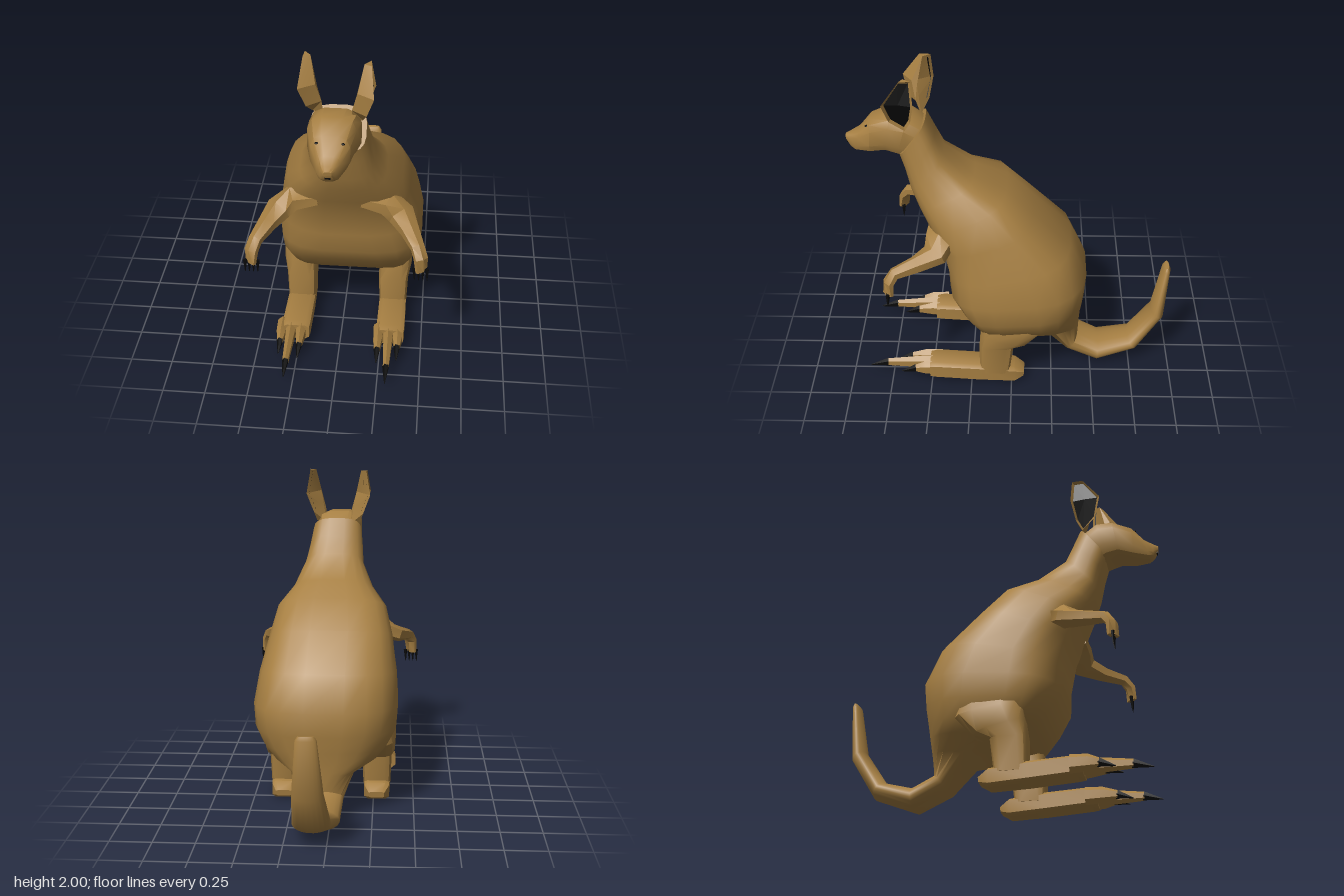
import * as THREE from 'three';
import { toCreasedNormals } from 'three/addons/utils/BufferGeometryUtils.js';

const fur = new THREE.MeshStandardMaterial({ color: 0xa67f42 });
fur.name = 'brownFur';
const black = new THREE.MeshStandardMaterial({ color: 0x0a0a0a, side: THREE.DoubleSide });
black.name = 'blackClawAndEar';

// Skin a list of equal-length rings, with closed ends; faces are turned outward by signed volume.
function loft(rings, crease = 0.7) {
  const n = rings[0].length, pos = [], idx = [];
  rings.forEach(r => r.forEach(p => pos.push(p.x, p.y, p.z)));
  for (let i = 0; i < rings.length - 1; i++) {
    for (let j = 0; j < n; j++) {
      const a = i * n + j, b = i * n + (j + 1) % n;
      idx.push(a, b, a + n, b, b + n, a + n);
    }
  }
  [0, rings.length - 1].forEach(i => {
    const c = new THREE.Vector3();
    rings[i].forEach(p => c.addScaledVector(p, 1 / n));
    const k = pos.length / 3;
    pos.push(c.x, c.y, c.z);
    for (let j = 0; j < n; j++) {
      const a = i * n + j, b = i * n + (j + 1) % n;
      if (i === 0) idx.push(k, b, a); else idx.push(k, a, b);
    }
  });
  const at = i => new THREE.Vector3().fromArray(pos, i * 3);
  let volume = 0;
  for (let i = 0; i < idx.length; i += 3) volume += at(idx[i]).dot(at(idx[i + 1]).cross(at(idx[i + 2])));
  if (volume < 0) idx.reverse();
  const g = new THREE.BufferGeometry();
  g.setAttribute('position', new THREE.Float32BufferAttribute(pos, 3));
  g.setIndex(idx);
  return toCreasedNormals(g, crease);
}

// Rounded section from two profile points:
// [z1, y1, z2, y2, centreX, halfWidth, roundness at point 1, roundness at point 2]
function section([z1, y1, z2, y2, cx, hw, e1 = 0.65, e2 = e1], n) {
  return Array.from({ length: n }, (_, i) => {
    const t = (i + 0.5) / n * Math.PI * 2, e = Math.cos(t) > 0 ? e1 : e2;
    const pw = v => Math.sign(v) * Math.pow(Math.abs(v), e);
    const u = pw(Math.cos(t)), v = pw(Math.sin(t));
    return new THREE.Vector3(cx + hw * v, (y1 + y2) / 2 + u * (y1 - y2) / 2, (z1 + z2) / 2 + u * (z1 - z2) / 2);
  });
}
const profile = (rows, n, crease) => loft(rows.map(r => section(r, n)), crease);

// Limb along a path of [x, y, z, halfWidth, halfHeight]
function limb(path, n = 6) {
  const P = path.map(p => new THREE.Vector3(p[0], p[1], p[2]));
  return loft(path.map((p, i) => {
    const t = P[Math.min(i + 1, P.length - 1)].clone().sub(P[Math.max(i - 1, 0)]).normalize();
    const side = new THREE.Vector3(0, 1, 0).cross(t).normalize();
    const up = t.clone().cross(side);
    return Array.from({ length: n }, (_, j) => {
      const a = (j + 0.5) / n * Math.PI * 2;
      return P[i].clone().addScaledVector(side, Math.cos(a) * p[3]).addScaledVector(up, Math.sin(a) * p[4]);
    });
  }), 0.6);
}

function add(parent, name, geometry, material = fur) {
  const m = new THREE.Mesh(geometry, material);
  m.name = name;
  parent.add(m);
  return m;
}

function makeLeg(s) {
  const g = new THREE.Group(), x = 0.02 + s * 0.29;
  g.name = s > 0 ? 'leftLeg' : 'rightLeg';
  // Shin, with its top buried in the haunch
  add(g, 'shin', profile([
    [0.16, 0.60, -0.22, 0.60, x, 0.07],
    [0.18, 0.48, -0.22, 0.42, x + s * 0.01, 0.108],
    [0.19, 0.38, -0.11, 0.31, x + s * 0.01, 0.103],
    [0.20, 0.28, -0.015, 0.28, x, 0.094, 0.5],
    [0.20, 0.08, 0.01, 0.08, x, 0.086, 0.45]], 12));
  // Long flat foot
  add(g, 'foot', profile([
    [-0.08, 0.07, -0.075, 0.03, x, 0.05, 0.4],
    [-0.02, 0.11, -0.02, 0.0, x, 0.08, 0.4],
    [0.20, 0.135, 0.20, 0.01, x, 0.087, 0.4],
    [0.47, 0.15, 0.47, 0.03, x, 0.088, 0.4],
    [0.51, 0.14, 0.51, 0.035, x, 0.083, 0.4]], 8));
  // Toes: distance from the middle, claw start, claw tip
  [[0.3, 0.78, 0.89], [0.238, 0.63, 0.72], [0.357, 0.6, 0.69]].forEach(([dx, z, tip]) => {
    const tx = s * dx;
    add(g, 'toe', limb([[tx, 0.09, 0.44, 0.036, 0.055], [tx, 0.092, 0.54, 0.032, 0.05], [tx, 0.087, z, 0.02, 0.028]]));
    add(g, 'toeClaw', limb([[tx, 0.087, z - 0.005, 0.021, 0.029], [tx, 0.062, tip, 0.003, 0.003]], 5), black);
  });
  return g;
}

function makeArm(s) {
  const g = new THREE.Group();
  g.name = s > 0 ? 'leftArm' : 'rightArm';
  // Broad shoulder narrowing to the wrist and drooping hand
  add(g, 'arm', limb([
    [s * 0.13, 1.05, 0.41, 0.09, 0.05],
    [s * 0.27, 1.025, 0.415, 0.10, 0.07],
    [s * 0.355, 0.965, 0.45, 0.09, 0.055],
    [s * 0.41, 0.93, 0.56, 0.058, 0.047],
    [s * 0.46, 0.90, 0.68, 0.042, 0.035],
    [s * 0.48, 0.85, 0.715, 0.045, 0.028],
    [s * 0.485, 0.77, 0.72, 0.042, 0.018]]));
  for (let i = 0; i < 4; i++) {
    const x = s * (0.445 + i * 0.024);
    add(g, 'fingerClaw', limb([[x, 0.785, 0.72, 0.01, 0.014], [x + s * 0.003, 0.705, 0.722, 0.002, 0.002]], 5), black);
  }
  return g;
}

function makeEar(s) {
  const g = new THREE.Group();
  g.name = s > 0 ? 'leftEar' : 'rightEar';
  const dz = s > 0 ? 0 : -0.085;
  const v = (x, y, z) => new THREE.Vector3(s * x, y, z + dz);
  // Rim, walked around the ear, and the ridge point behind each rim point
  const top = v(0.145, 2.0, 0.605), mid = v(0.115, 1.86, 0.67), low = v(0.085, 1.75, 0.65), base = v(0.08, 1.66, 0.62);
  const rim = [
    v(0.185, 2.0, 0.625), v(0.18, 2.0, 0.56), v(0.205, 1.85, 0.55), v(0.16, 1.73, 0.575),
    v(0.14, 1.67, 0.61), v(0.165, 1.74, 0.695), v(0.205, 1.86, 0.73)];
  const ridge = [top, top, mid, low, base, low, mid];
  const centre = v(0.2, 1.86, 0.635);
  const inset = lift => rim.map(p => new THREE.Vector3(
    p.x + s * lift, THREE.MathUtils.lerp(p.y, centre.y, 0.1), THREE.MathUtils.lerp(p.z, centre.z, 0.17)));
  add(g, 'earShell', loft([ridge, rim, inset(-0.02)], 0.3));
  // Dark hollow of the ear
  const hollow = new THREE.BufferGeometry(), inner = inset(-0.014), pts = [];
  centre.x -= s * 0.012;
  inner.forEach((p, i) => {
    const q = inner[(i + 1) % inner.length];
    pts.push(centre, ...(s > 0 ? [q, p] : [p, q]));
  });
  hollow.setFromPoints(pts).computeVertexNormals();
  add(g, 'innerEar', hollow, black);
  return g;
}

export function createModel() {
  const model = new THREE.Group();
  model.name = 'kangaroo';

  // Neck, chest, belly and tail in one skin; the tail curls up at the end
  add(model, 'bodyAndTail', profile([
    [0.66, 1.49, 0.50, 1.70, 0.005, 0.155],
    [0.63, 1.40, 0.45, 1.59, 0.01, 0.17],
    [0.60, 1.28, 0.40, 1.49, 0.02, 0.187],
    [0.56, 1.18, 0.22, 1.35, 0.02, 0.25],
    [0.50, 1.06, 0.03, 1.27, 0.02, 0.338],
    [0.43, 0.92, -0.13, 1.11, 0.02, 0.38],
    [0.39, 0.75, -0.36, 0.90, 0.03, 0.42, 0.6, 0.7],
    [0.38, 0.62, -0.46, 0.69, 0.04, 0.44, 0.55, 0.7],
    [0.30, 0.50, -0.45, 0.54, 0.04, 0.43, 0.45, 0.75],
    [0.22, 0.39, -0.44, 0.44, 0.04, 0.38, 0.4, 0.8],
    [0.03, 0.335, -0.43, 0.37, 0.04, 0.31, 0.55, 0.8],
    [-0.17, 0.28, -0.425, 0.30, 0.05, 0.19, 0.75],
    [-0.33, 0.10, -0.42, 0.20, 0.065, 0.145, 1],
    [-0.54, 0.0, -0.55, 0.14, 0.07, 0.135, 1],
    [-0.80, 0.10, -0.73, 0.19, 0.085, 0.112, 1],
    [-0.955, 0.35, -0.87, 0.40, 0.095, 0.09, 1],
    [-0.975, 0.70, -0.925, 0.70, 0.10, 0.06, 0.9],
    [-0.965, 0.725, -0.94, 0.72, 0.10, 0.045, 0.9]], 20, 0.8));

  // Head and muzzle
  const cx = -0.015;
  add(model, 'head', profile([
    [0.50, 1.67, 0.62, 1.46, 0, 0.13],
    [0.60, 1.735, 0.67, 1.48, cx + 0.01, 0.145],
    [0.70, 1.735, 0.74, 1.495, cx, 0.135],
    [0.82, 1.69, 0.83, 1.475, cx, 0.108],
    [0.89, 1.61, 0.92, 1.475, cx, 0.065],
    [0.945, 1.58, 0.945, 1.49, cx, 0.042],
    [0.975, 1.565, 0.97, 1.53, cx, 0.022]], 12, 0.6));
  add(model, 'nostrils', new THREE.BoxGeometry(0.03, 0.01, 0.008), black).position.set(cx, 1.522, 0.965);

  [1, -1].forEach(s => {
    // Small narrow eyes
    const eye = add(model, s > 0 ? 'leftEye' : 'rightEye', new THREE.SphereGeometry(0.01, 8, 6), black);
    eye.scale.set(1, 0.5, 1);
    eye.position.set(cx + s * 0.07, 1.655, 0.84);
    model.add(makeEar(s), makeArm(s), makeLeg(s));
  });
  return model;
}
